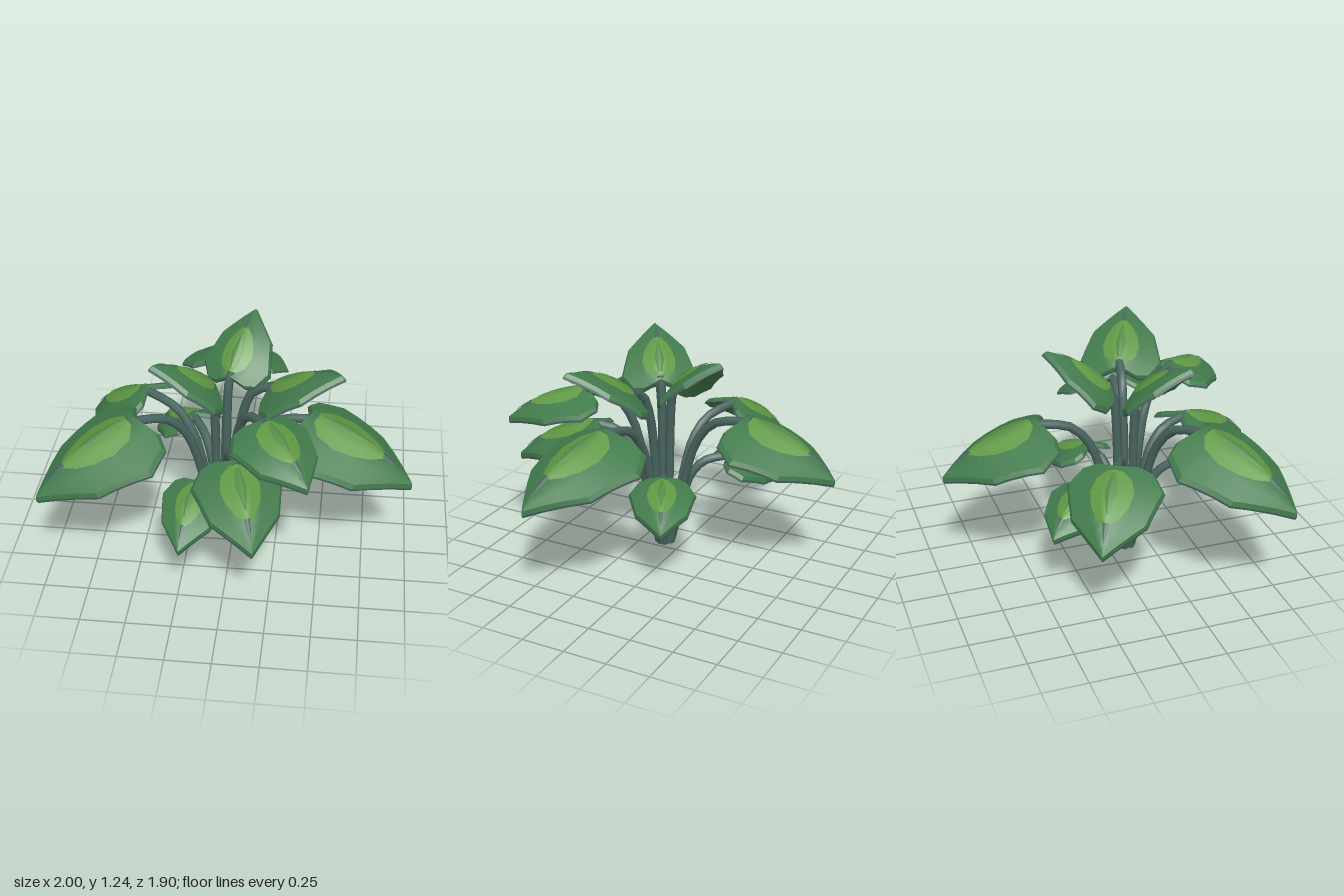
import * as THREE from 'three';

// Leaves: base of blade, tip of blade, greatest half width
const LEAVES = [
  [[-0.06, 0.9, -0.36], [-0.05, 0.61, -0.95], 0.32],
  [[0.38, 0.89, 0.18], [1.0, 0.58, 0.39], 0.33],
  [[-0.47, 0.94, 0.36], [-1.0, 0.59, 0.73], 0.33],
  [[-0.5, 0.81, -0.09], [-0.89, 0.47, -0.31], 0.265],
  [[-0.25, 0.57, -0.18], [-0.49, 0.37, -0.45], 0.2],
  [[0.18, 0.56, -0.01], [0.53, 0.36, -0.18], 0.19],
  [[0.03, 0.76, 0.45], [0.18, 0.49, 0.95], 0.25],
  [[0.17, 1.01, 0.43], [0.45, 0.84, 0.83], 0.235],
  [[-0.17, 0.58, 0.42], [-0.23, 0.36, 0.82], 0.18],
  [[-0.09, 0.98, 0.14], [-0.42, 1.23, 0.36], 0.22],
  [[0.18, 1.0, 0.15], [0.6, 1.23, 0.35], 0.24],
  [[-0.04, 0.97, 0.06], [0.08, 1.23, -0.32], 0.2],
];

// Rows across a blade: position at the midrib, position at the edge, half width
const BLADE = [[0.06, 0.01, 0.45], [0.1, 0.05, 0.74], [0.24, 0.24, 1], [0.63, 0.63, 0.76], [1, 1, 0.015]];
const BLADE_TOP = BLADE.map(([mid, edge, w]) => [0.01 + mid * 0.97, 0.01 + edge * 0.97, w * 0.95]);
const PATCH = [[0.12, 0.12, 0.15], [0.2, 0.2, 0.36], [0.35, 0.35, 0.44], [0.5, 0.5, 0.37], [0.62, 0.62, 0.23], [0.7, 0.7, 0.06]];
const STRIPE = [[0.16, 0.16, 0.05], [0.35, 0.35, 0.13], [0.6, 0.6, 0.02]];
const SPIKE = [[0.68, 0.68, 0.065], [0.78, 0.78, 0.045], [0.87, 0.87, 0.005]];
const COLUMNS = [-1, -0.5, 0, 0.5, 1];
const TOP = 0.014, MIDDLE = -0.005, BOTTOM = -0.018;

function refine(rows, n = 3) {
  const out = [];
  for (let i = 0; i < rows.length - 1; i++)
    for (let k = 0; k < n; k++)
      out.push(rows[i].map((v, c) => v + (rows[i + 1][c] - v) * k / n));
  out.push(rows[rows.length - 1]);
  return out;
}

// Arched blade surface with sides that droop away from the midrib
function bladeSurface(base, tip, halfWidth) {
  const u = tip.clone().sub(base);
  const length = u.length();
  u.normalize();
  const side = new THREE.Vector3(0, 1, 0).cross(u).normalize();
  const n = u.clone().cross(side);
  return (a, w, lift) => {
    const v = w * halfWidth;
    const h = 0.4 * length * a * (1 - a) - 0.42 * Math.abs(v) + lift;
    return base.clone().addScaledVector(u, a * length).addScaledVector(side, v).addScaledVector(n, h);
  };
}

function gridPoints(surface, rows, lift) {
  return rows.map(([mid, edge, w]) =>
    COLUMNS.map((c) => surface(mid + (edge - mid) * Math.abs(c), w * c, lift)));
}

function sheet(surface, rows, lift, flip = false) {
  const points = gridPoints(surface, refine(rows), lift);
  const m = COLUMNS.length, index = [];
  for (let i = 0; i < points.length - 1; i++)
    for (let j = 0; j < m - 1; j++) {
      const a = i * m + j, b = a + m, c = a + 1, d = b + 1;
      if (flip) index.push(a, c, b, b, c, d);
      else index.push(a, b, c, b, d, c);
    }
  const g = new THREE.BufferGeometry().setFromPoints(points.flat());
  g.setIndex(index);
  g.computeVertexNormals();
  return g;
}

// Wall between a lower and an upper outline
function rim(surface, lowRows, low, highRows, high) {
  const loop = (rows, lift) => {
    const p = gridPoints(surface, refine(rows), lift), last = COLUMNS.length - 1;
    return [...p.map((r) => r[0]), ...p.map((r) => r[last]).reverse(), ...p[0].slice(1, last).reverse()];
  };
  const t = loop(highRows, high), b = loop(lowRows, low), tris = [];
  t.forEach((_, k) => {
    const q = (k + 1) % t.length;
    tris.push(b[k], b[q], t[k], b[q], t[q], t[k]);
  });
  const g = new THREE.BufferGeometry().setFromPoints(tris);
  g.computeVertexNormals();
  return g;
}

export function createModel() {
  const material = (name, color) => {
    const m = new THREE.MeshStandardMaterial({ color });
    m.name = name;
    return m;
  };
  const leafGreen = material('leafGreen', 0x417a4b);
  const patchGreen = material('patchGreen', 0x5f9843);
  const stripeGreen = material('stripeGreen', 0x538a45);
  const stemGrey = material('stemGrey', 0x48645e);

  const plant = new THREE.Group();
  plant.name = 'leafyPlant';
  const add = (parent, name, geometry, mat) => {
    const mesh = new THREE.Mesh(geometry, mat);
    mesh.name = name;
    parent.add(mesh);
    return mesh;
  };

  LEAVES.forEach(([b, t, halfWidth]) => {
    const base = new THREE.Vector3(...b), tip = new THREE.Vector3(...t);
    const surface = bladeSurface(base, tip, halfWidth);
    const leaf = new THREE.Group();
    leaf.name = 'leaf';
    plant.add(leaf);

    // Blade with a bevelled green edge above a grey one
    add(leaf, 'bladeTop', sheet(surface, BLADE_TOP, TOP), leafGreen);
    add(leaf, 'bladeUnderside', sheet(surface, BLADE, BOTTOM, true), leafGreen);
    add(leaf, 'upperRim', rim(surface, BLADE, MIDDLE, BLADE_TOP, TOP), leafGreen);
    add(leaf, 'lowerRim', rim(surface, BLADE, BOTTOM, BLADE, MIDDLE), stemGrey);

    // Pale patch on both faces, its centre stripe and the end of the midrib
    add(leaf, 'palePatch', sheet(surface, PATCH, TOP + 0.004), patchGreen);
    add(leaf, 'palePatchUnderside', sheet(surface, PATCH, BOTTOM - 0.004, true), patchGreen);
    add(leaf, 'patchStripe', sheet(surface, STRIPE, TOP + 0.007), stripeGreen);
    add(leaf, 'midribEnd', sheet(surface, SPIKE, TOP + 0.006), stemGrey);

    // Stem rising from the clump and bending over into the blade
    const end = surface(0.14, 0, -0.006);
    const root = new THREE.Vector3(-0.073, 0.01, 0.11);
    const out = new THREE.Vector3(end.x - root.x, 0, end.z - root.z).normalize();
    root.addScaledVector(out, 0.034);
    const at = (f, h) => new THREE.Vector3(
      root.x + (end.x - root.x) * f, end.y * h, root.z + (end.z - root.z) * f);
    const path = new THREE.CatmullRomCurve3(
      [root, at(0.12, 0.33), at(0.25, 0.66), at(0.35, 0.81), at(0.55, 0.94), end]);
    add(leaf, 'stem', new THREE.TubeGeometry(path, 14, 0.026, 7), stemGrey);
    const cap = add(leaf, 'stemFoot', new THREE.CircleGeometry(0.026, 7), stemGrey);
    cap.rotation.x = Math.PI / 2;
    cap.position.copy(root);
  });
  return plant;
}
